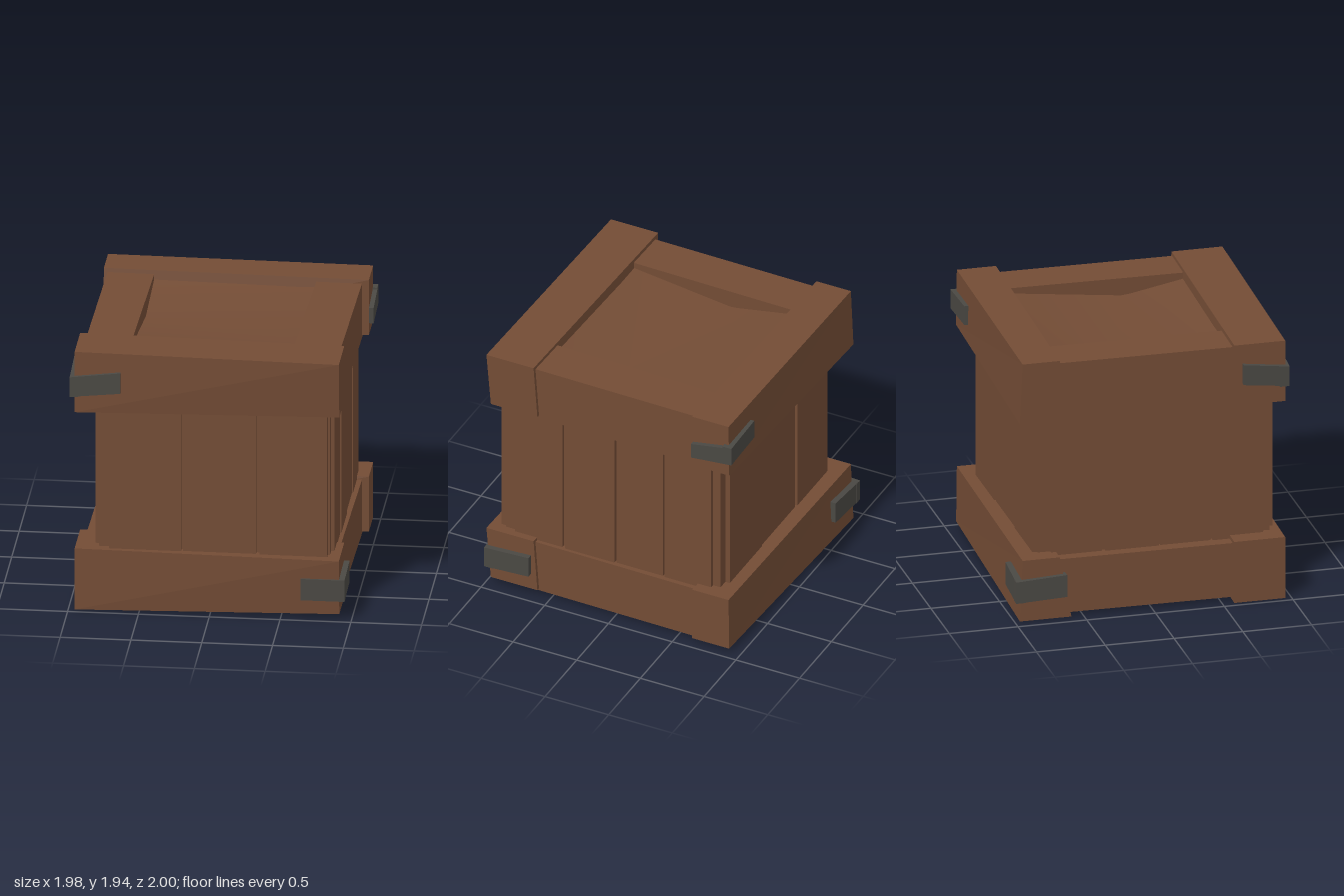
import * as THREE from 'three';

const wood = new THREE.MeshStandardMaterial({ color: 0x734c35 });
wood.name = 'brown wood';
const metal = new THREE.MeshStandardMaterial({ color: 0x4a4843 });
metal.name = 'dark iron';

// Flat-faced six-sided block between two end quads of [x, y, z] corners
function block(a, b) {
  const A = a.map((p) => new THREE.Vector3(...p));
  const B = b.map((p) => new THREE.Vector3(...p));
  const faces = [[A[3], A[2], A[1], A[0]], B];
  for (let i = 0; i < 4; i++) {
    const j = (i + 1) % 4;
    faces.push([A[i], A[j], B[j], B[i]]);
  }
  const tris = faces.flatMap(([p, q, r, s]) => [[p, q, r], [p, r, s]]);
  // Turn the corners round when the block is inside out
  const volume = tris.reduce((sum, [p, q, r]) => sum + p.dot(q.clone().cross(r)), 0);
  if (volume < 0) tris.forEach((t) => t.reverse());
  const geometry = new THREE.BufferGeometry().setFromPoints(tris.flat());
  geometry.computeVertexNormals();
  return geometry;
}

function add(group, name, geometry, material) {
  const mesh = new THREE.Mesh(geometry, material);
  mesh.name = name;
  group.add(mesh);
  return mesh;
}

// Axis-aligned box from its limits
function box(x0, x1, y0, y1, z0, z1) {
  const g = new THREE.BoxGeometry(x1 - x0, y1 - y0, z1 - z0);
  return g.translate((x0 + x1) / 2, (y0 + y1) / 2, (z0 + z1) / 2);
}

// End of a long beam: z limits at the bottom and at the top
const beamEnd = (x, y0, y1, [b0, b1], [t0, t1]) =>
  [[x, y0, b0], [x, y0, b1], [x, y1, t1], [x, y1, t0]];
// End of a side beam
const sideEnd = (z, y0, y1, x0, x1) =>
  [[x0, y0, z], [x1, y0, z], [x1, y1, z], [x0, y1, z]];

// Corner bracket: each arm has [end position, low y, high y]; corner y is [low, high]
function bracket(name, x, z, [c0, c1], [ex, fx0, fx1, ez2], [ez, sz0, sz1]) {
  const g = new THREE.Group();
  g.name = name;
  const ix = x - Math.sign(x) * 0.06, iz = z - Math.sign(z) * 0.07;
  const iz2 = ez2 - Math.sign(z) * 0.07;
  add(g, 'bracketFaceArm', block(
    [[x, c0, z], [x, c1, z], [x, c1, iz], [x, c0, iz]],
    [[ex, fx0, ez2], [ex, fx1, ez2], [ex, fx1, iz2], [ex, fx0, iz2]]), metal);
  add(g, 'bracketSideArm', block(
    [[x, c0, z], [x, c1, z], [ix, c1, z], [ix, c0, z]],
    [[x, sz0, ez], [x, sz1, ez], [ix, sz1, ez], [ix, sz0, ez]]), metal);
  return g;
}

export function createModel() {
  const crate = new THREE.Group();
  crate.name = 'crate';

  // Inner body
  add(crate, 'core', box(-0.79, 0.84, 0.17, 1.7, -0.8, 0.885), wood);

  // Front and back planks, with narrow gaps
  const faceGaps = [[-0.715, -0.205], [-0.193, 0.322], [0.347, 0.825]];
  faceGaps.forEach(([a, b], i) => {
    const front = [0.925, 0.918, 0.925][i];
    add(crate, 'frontPlank', box(a, b, 0.3, 1.65, 0.86, front), wood);
    add(crate, 'backPlank', box(0.05 - b, 0.05 - a, 0.3, 1.65, 0.09 - front, -0.77), wood);
  });

  // Side planks
  const sideGaps = [[-0.74, -0.375], [-0.36, 0.005], [0.018, 0.405], [0.43, 0.8]];
  sideGaps.forEach(([a, b], i) => {
    const x = i % 2 ? 0.863 : 0.87;
    add(crate, 'leftPlank', box(0.82, x, 0.3, 1.65, a, b), wood);
    add(crate, 'rightPlank', box(0.05 - x, -0.77, 0.3, 1.65, 0.09 - b, 0.09 - a), wood);
  });

  // Sagging lid, folded along a slanted valley
  const lid = new THREE.PlaneGeometry(1.3, 1.4, 1, 2).rotateX(-Math.PI / 2);
  const p = lid.attributes.position;
  for (let i = 0; i < p.count; i++) {
    const middle = Math.abs(p.getZ(i)) < 0.1;
    p.setY(i, middle ? 1.785 : 1.885);
    if (middle) p.setZ(i, p.getX(i) * 0.3);
  }
  lid.computeVertexNormals();
  add(crate, 'lid', lid, wood);

  // Upper and lower frames
  for (const [level, y, cut, lift, side0, side1] of [
    ['lower', 0, 0.045, 0.46, 0.03, 0.435],
    ['upper', 1.487, 0.04, 0.455, 0.018, 0.427],
  ]) {
    add(crate, level + 'FrontBeam', block(
      beamEnd(-0.955, y, y + lift, [0.585, 0.955], [0.585, 0.955]),
      beamEnd(0.915, y + cut, y + lift - 0.005, [0.6, 0.965], [0.63, 1.0])), wood);
    add(crate, level + 'BackBeam', block(
      beamEnd(-0.92, y + 0.005, y + lift, [-0.965, -0.59], [-0.945, -0.675]),
      beamEnd(0.955, y + cut, y + lift, [-0.925, -0.635], [-0.92, -0.635])), wood);
    add(crate, level + 'LeftBeam', block(
      sideEnd(-0.75, y + side0, y + side1, 0.585, 0.908),
      sideEnd(0.75, y + side0, y + side1, 0.555, 0.888)), wood);
    add(crate, level + 'RightBeam', block(
      sideEnd(-0.75, y + side0, y + side1, -0.893, -0.562),
      sideEnd(0.75, y + side0, y + side1, -0.912, -0.588)), wood);
  }

  // Iron corner brackets, two high and two low
  crate.add(
    bracket('upperFrontBracket', -0.988, 0.978, [1.61, 1.757], [-0.63, 1.65, 1.804, 0.985], [0.645, 1.65, 1.8]),
    bracket('upperBackBracket', 0.988, -0.958, [1.645, 1.786], [0.62, 1.655, 1.797, -0.955], [-0.64, 1.615, 1.73]),
    bracket('lowerFrontBracket', 0.955, 1.0, [0.152, 0.312], [0.645, 0.152, 0.312, 1.0], [0.65, 0.17, 0.328]),
    bracket('lowerBackBracket', -0.955, -1.0, [0.155, 0.315], [-0.6, 0.17, 0.335, -0.985], [-0.63, 0.17, 0.335]),
  );

  return crate;
}
